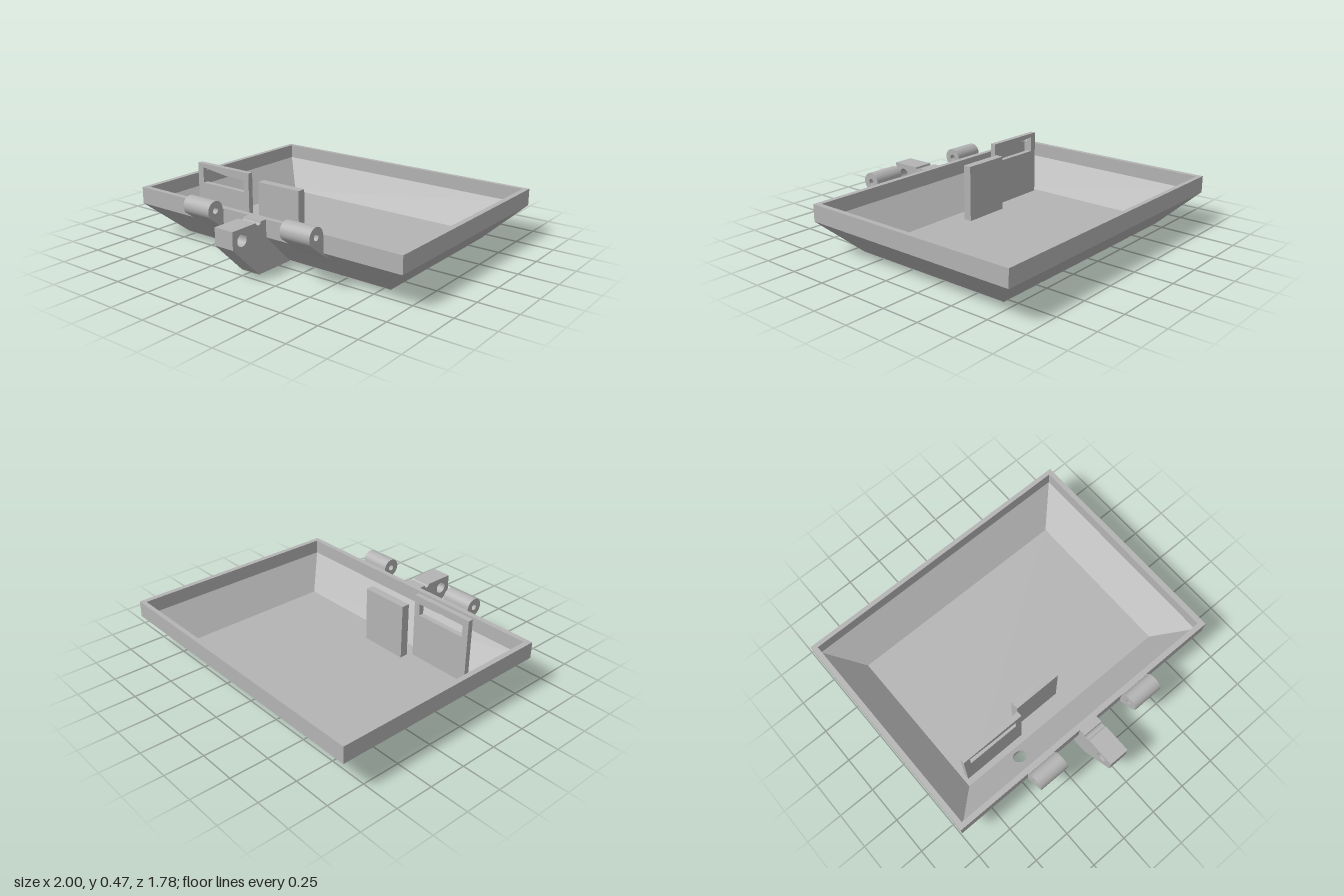
import * as THREE from 'three';
import { toCreasedNormals } from 'three/addons/utils/BufferGeometryUtils.js';

const grey = new THREE.MeshStandardMaterial({ color: 0xb4b4b4, side: THREE.DoubleSide });
grey.name = 'grey plastic';

const FLOOR = 0.035; // inner floor height
const SOLE = 0.008; // depth of the grooves underneath
const HOLE = { x: -0.42, z: 0.46, r: 0.045 }; // drain hole
const PIN = { z: 0.675, y: 0.32, r: 0.02 }; // hinge pin axis

// Outline of the tray, bottom outside up over the rim and down to the inner floor
const rings = [
  { x: 0.79 + SOLE, back: -0.68 - SOLE, front: 0.4 + SOLE, y: SOLE },
  { x: 1, back: -0.89, front: 0.61, y: 0.21 },
  { x: 1, back: -0.89, front: 0.61, y: 0.32 },
  { x: 0.965, back: -0.86, front: 0.575, y: 0.32 },
  { x: 0.965, back: -0.86, front: 0.575, y: 0.225 },
  { x: 0.775, back: -0.67, front: 0.385, y: FLOOR },
];

function add(group, name, geometry) {
  const mesh = new THREE.Mesh(geometry, grey);
  mesh.name = name;
  group.add(mesh);
  return mesh;
}

function box(group, name, x0, x1, y0, y1, z0, z1) {
  const g = new THREE.BoxGeometry(x1 - x0, y1 - y0, z1 - z0);
  g.translate((x0 + x1) / 2, (y0 + y1) / 2, (z0 + z1) / 2);
  return add(group, name, g);
}

const corners = (r) => [
  [-r.x, r.y, r.front], [r.x, r.y, r.front], [r.x, r.y, r.back], [-r.x, r.y, r.back],
];

// Flat-sided shell; the sloping front faces are left out for the drilled panels
function shellGeometry() {
  const pos = [];
  const quad = (a, b, c, d) => pos.push(...a, ...b, ...c, ...a, ...c, ...d);
  for (let i = 0; i < rings.length - 1; i++) {
    const low = corners(rings[i]);
    const high = corners(rings[i + 1]);
    for (let s = 0; s < 4; s++) {
      if (s === 0 && (i === 0 || i === 4)) continue;
      const t = (s + 1) % 4;
      quad(low[s], low[t], high[t], high[s]);
    }
  }
  quad(...corners(rings[5]));
  quad(...corners(rings[0]).reverse());
  const g = new THREE.BufferGeometry();
  g.setAttribute('position', new THREE.Float32BufferAttribute(pos, 3));
  g.computeVertexNormals();
  return g;
}

// Sloping front panel between two rings, with the drain hole cut straight down
function slopeGeometry(low, high, inward) {
  const shape = new THREE.Shape([
    new THREE.Vector2(-low.x, low.front), new THREE.Vector2(low.x, low.front),
    new THREE.Vector2(high.x, high.front), new THREE.Vector2(-high.x, high.front),
  ]);
  shape.holes.push(new THREE.Path().absarc(HOLE.x, HOLE.z, HOLE.r, 0, Math.PI * 2, true));
  const g = new THREE.ShapeGeometry(shape, 24);
  const p = g.attributes.position;
  for (let i = 0; i < p.count; i++) {
    const z = p.getY(i);
    p.setXYZ(i, p.getX(i), low.y + z - low.front, z);
  }
  if (inward) g.setIndex([...g.index.array].reverse());
  g.computeVertexNormals();
  return g;
}

// Drain hole wall, sheared to follow the slope
function boreGeometry() {
  const g = new THREE.CylinderGeometry(HOLE.r, HOLE.r, 0.05, 48, 1, true);
  const p = g.attributes.position;
  for (let i = 0; i < p.count; i++) p.setY(i, p.getY(i) + p.getZ(i));
  g.translate(HOLE.x, HOLE.z - 0.375, HOLE.z);
  return g;
}

// Side profile drawn as (z, y), extruded across x
function sideExtrude(shape, x0, x1) {
  const g = new THREE.ExtrudeGeometry(shape, { depth: x1 - x0, bevelEnabled: false, curveSegments: 24 });
  g.rotateY(-Math.PI / 2);
  g.translate(x1, 0, 0);
  return toCreasedNormals(g, 0.5);
}

function pathHole(x, y, r) {
  return new THREE.Path().absarc(x, y, r, 0, Math.PI * 2, true);
}

export function createModel() {
  const model = new THREE.Group();
  model.name = 'hinged tray';

  // Tray body
  add(model, 'trayShell', shellGeometry());
  add(model, 'frontSlopeOuter', slopeGeometry(rings[0], rings[1], false));
  add(model, 'frontSlopeInner', slopeGeometry(rings[5], rings[4], true));
  add(model, 'drainHole', boreGeometry());

  // Sole pads, separated by two long grooves and a fine border groove
  const sole = new THREE.Group();
  sole.name = 'sole';
  model.add(sole);
  const columns = [[-0.762, -0.472], [-0.452, 0.452], [0.472, 0.762]];
  for (const [a, b] of columns) {
    box(sole, 'solePad', a, b, 0, SOLE, -0.652, 0.372);
    box(sole, 'soleFrontEdge', a, b, 0, SOLE, 0.385, 0.402);
    box(sole, 'soleBackEdge', a, b, 0, SOLE, -0.682, -0.665);
  }
  for (const s of [-1, 1]) {
    box(sole, 'soleSideEdge', s < 0 ? -0.792 : 0.775, s < 0 ? -0.775 : 0.792, 0, SOLE, -0.682, 0.402);
    for (const [z0, z1] of [[-0.682, -0.665], [0.385, 0.402]]) {
      box(sole, 'soleCorner', s < 0 ? -0.775 : 0.762, s < 0 ? -0.762 : 0.775, 0, SOLE, z0, z1);
    }
  }

  // Hinge barrels with a web running down to the sloping wall
  const hinge = new THREE.Shape();
  hinge.moveTo(0.555, 0.155);
  hinge.lineTo(0.711, 0.272);
  hinge.absarc(PIN.z, PIN.y, 0.06, Math.atan2(-0.8, 0.6), Math.PI, false);
  hinge.lineTo(0.6, 0.318);
  hinge.lineTo(0.6, 0.205);
  hinge.holes.push(pathHole(PIN.z, PIN.y, PIN.r));
  add(model, 'rightHinge', sideExtrude(hinge, -0.485, -0.275));
  add(model, 'leftHinge', sideExtrude(hinge, 0.275, 0.485));

  // Central latch lug with a padlock hole and a notch for the pin
  const lug = new THREE.Shape();
  lug.moveTo(0.4, 0);
  lug.lineTo(0.68, 0);
  lug.lineTo(0.89, 0.21);
  lug.lineTo(0.89, 0.32);
  lug.lineTo(PIN.z + PIN.r, 0.32);
  lug.absarc(PIN.z, PIN.y, PIN.r, 0, -Math.PI, true);
  lug.lineTo(0.608, 0.32);
  lug.lineTo(0.608, 0.208);
  lug.holes.push(pathHole(0.815, 0.25, 0.038));
  add(model, 'latchLug', sideExtrude(lug, -0.07, 0.066));

  // Upright plate with a tapered slot
  const plate = new THREE.Shape();
  plate.moveTo(-0.75, FLOOR);
  plate.lineTo(-0.31, FLOOR);
  plate.lineTo(-0.31, 0.47);
  plate.lineTo(-0.75, 0.47);
  plate.holes.push(new THREE.Path([
    new THREE.Vector2(-0.705, 0.342), new THREE.Vector2(-0.705, 0.445),
    new THREE.Vector2(-0.5, 0.42), new THREE.Vector2(-0.352, 0.42),
    new THREE.Vector2(-0.352, 0.342),
  ]));
  const slotted = new THREE.ExtrudeGeometry(plate, { depth: 0.035, bevelEnabled: false });
  slotted.translate(0, 0, 0.31);
  add(model, 'slottedPlate', slotted);

  // Plain upright plate
  box(model, 'plainPlate', -0.288, 0.038, FLOOR, 0.405, 0.225, 0.28);

  return model;
}
